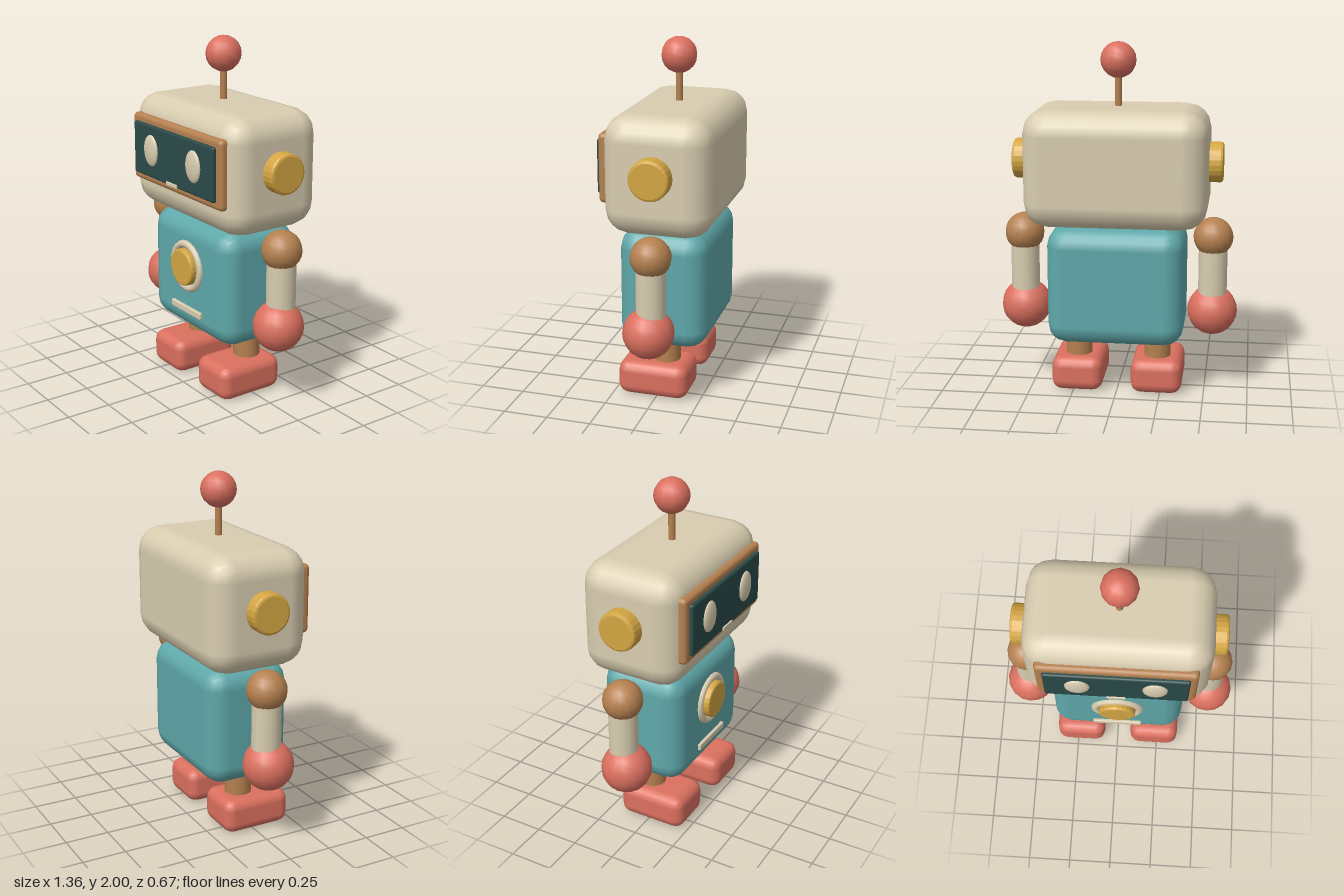
import * as THREE from 'three';
import { RoundedBoxGeometry } from 'three/addons/geometries/RoundedBoxGeometry.js';

const paint = (name, color) => {
  const m = new THREE.MeshStandardMaterial({ color });
  m.name = name;
  return m;
};

export function createModel() {
  const cream = paint('cream', 0xd9cdb0);
  const teal = paint('teal', 0x5fa8aa);
  const red = paint('coral red', 0xdb705f);
  const brown = paint('brown', 0xb58150);
  const yellow = paint('yellow', 0xd4a642);
  const dark = paint('dark screen', 0x2a4a48);
  const Z = -0.035; // depth of the body's centre line

  const robot = new THREE.Group();
  robot.name = 'robot';

  const add = (name, geometry, material, x, y, z) => {
    const mesh = new THREE.Mesh(geometry, material);
    mesh.name = name;
    mesh.position.set(x, y, z);
    robot.add(mesh);
    return mesh;
  };
  const box = (w, h, d, r, s = 2) => new RoundedBoxGeometry(w, h, d, s, r);
  const ball = (r, sides = 16, rings = 12) => new THREE.SphereGeometry(r, sides, rings);
  const rod = (r, h, sides = 20) => new THREE.CylinderGeometry(r, r, h, sides);

  // Disc along y with a chamfered rim
  const disc = (r, h, b) => {
    const g = new THREE.ExtrudeGeometry(new THREE.Shape().absarc(0, 0, r - b, 0, Math.PI * 2), {
      depth: h - 2 * b, bevelThickness: b, bevelSize: b, bevelSegments: 2, curveSegments: 12,
    });
    return g.translate(0, 0, b - h / 2);
  };

  // Head and antenna
  add('head', box(1.02, 0.66, 0.6, 0.14), cream, 0, 1.318, Z);
  add('antennaRod', rod(0.02, 0.24, 12), brown, 0, 1.72, Z);
  add('antennaBall', ball(0.1, 12, 10), red, 0, 1.9, Z);

  // Face
  add('faceFrame', box(0.865, 0.385, 0.07, 0.025), brown, 0, 1.347, 0.256);
  add('screen', box(0.78, 0.3, 0.05, 0.012), dark, 0, 1.348, 0.286);
  add('mouth', box(0.105, 0.022, 0.02, 0.004), cream, 0, 1.208, 0.309);

  // Torso and chest details
  add('torso', box(0.77, 0.67, 0.5, 0.11), teal, 0, 0.65, Z);
  add('chestRing', new THREE.TorusGeometry(0.13, 0.022, 8, 24), cream, 0, 0.715, 0.215);
  add('chestButton', disc(0.107, 0.07, 0.012), yellow, 0, 0.715, 0.226);
  add('chestSlot', box(0.29, 0.04, 0.03, 0.007), cream, 0, 0.455, 0.217);

  // Mirrored parts
  for (const [side, s] of [['left', 1], ['right', -1]]) {
    add(side + 'Eye', ball(1, 16, 12), cream, s * 0.208, 1.358, 0.311).scale.set(0.068, 0.09, 0.022);
    add(side + 'Ear', disc(0.112, 0.13, 0.015), yellow, s * 0.522, 1.343, Z).rotation.y = Math.PI / 2;
    add(side + 'Shoulder', ball(0.112), brown, s * 0.538, 0.915, Z);
    add(side + 'Arm', rod(0.081, 0.3), cream, s * 0.538, 0.71, Z);
    add(side + 'Hand', ball(0.142), red, s * 0.538, 0.482, -0.02);
    add(side + 'Leg', rod(0.076, 0.2), brown, s * 0.228, 0.27, Z);
    add(side + 'Foot', box(0.294, 0.2, 0.405, 0.06), red, s * 0.228, 0.103, 0.022);
  }
  return robot;
}
